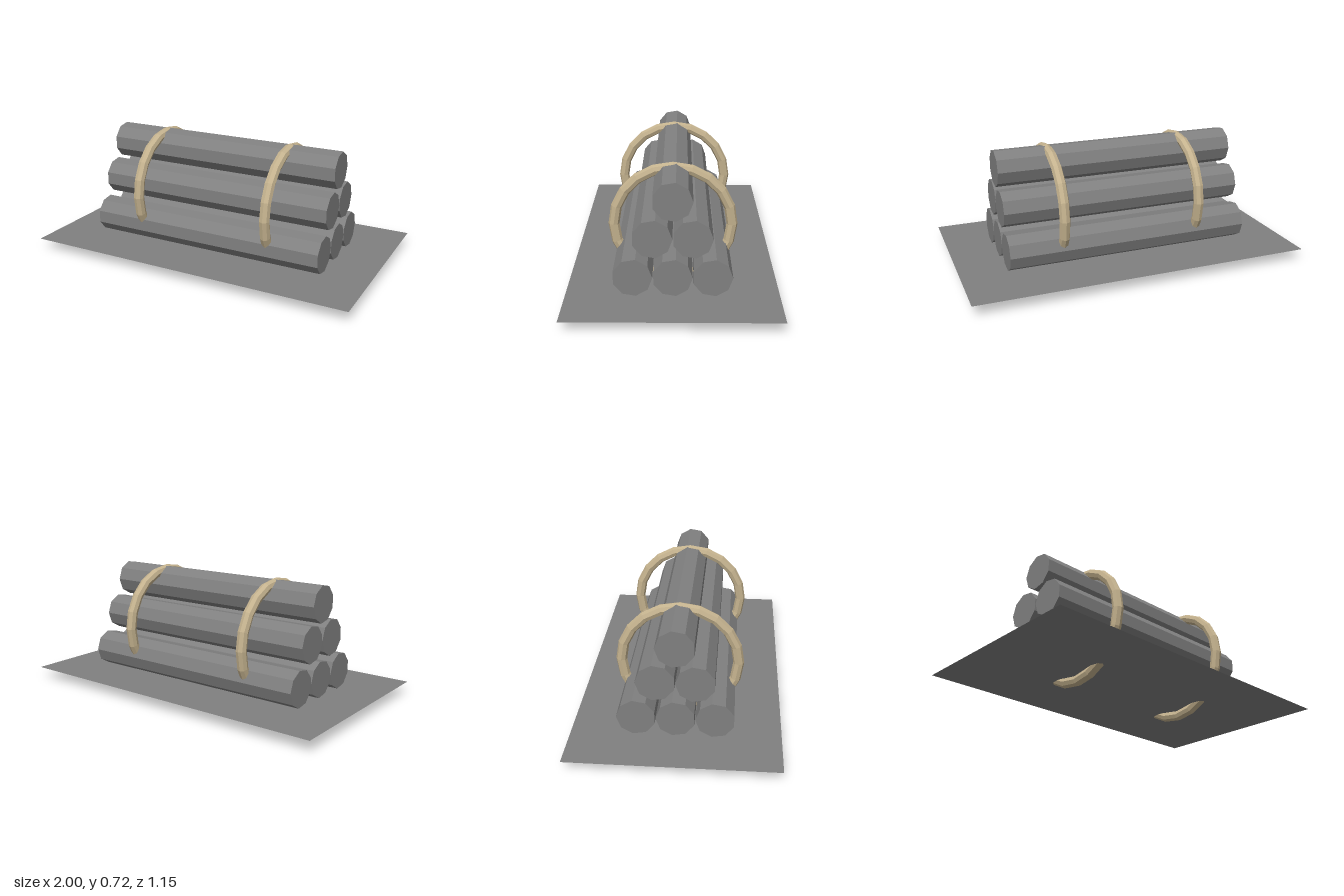
import * as THREE from 'three';

export function createModel() {
  const model = new THREE.Group();
  model.name = 'logPile';

  const grey = new THREE.MeshStandardMaterial({ color: 0x808080, flatShading: true, side: THREE.DoubleSide });
  grey.name = 'grey';
  const rope = new THREE.MeshStandardMaterial({ color: 0xc4b28e, flatShading: true });
  rope.name = 'rope tan';

  const add = (name, geometry, material, x, y, z) => {
    const mesh = new THREE.Mesh(geometry, material);
    mesh.name = name;
    mesh.position.set(x, y, z);
    model.add(mesh);
  };

  // flat ground sheet
  const ground = new THREE.PlaneGeometry(2, 1.154).rotateX(-Math.PI / 2);
  add('groundSheet', ground, grey, 0, 0.07, 0);

  // nine-sided logs lying along x, stacked 3-2-1
  const r = 0.108;
  const log = new THREE.CylinderGeometry(r, r, 1.46, 9, 1, false, Math.PI).rotateZ(Math.PI / 2);
  [0.179, 0.402, 0.61].forEach((y, row) => {
    const count = 3 - row;
    for (let i = 0; i < count; i++) {
      add(`logRow${row + 1}_${i + 1}`, log, grey, 0, y, (i - (count - 1) / 2) * 0.215);
    }
  });

  // binding hoops around the pile
  const hoop = new THREE.TorusGeometry(0.331, 0.031, 8, 20).rotateY(Math.PI / 2);
  add('leftHoop', hoop, rope, 0.415, 0.362, 0);
  add('rightHoop', hoop, rope, -0.415, 0.362, 0);

  return model;
}
